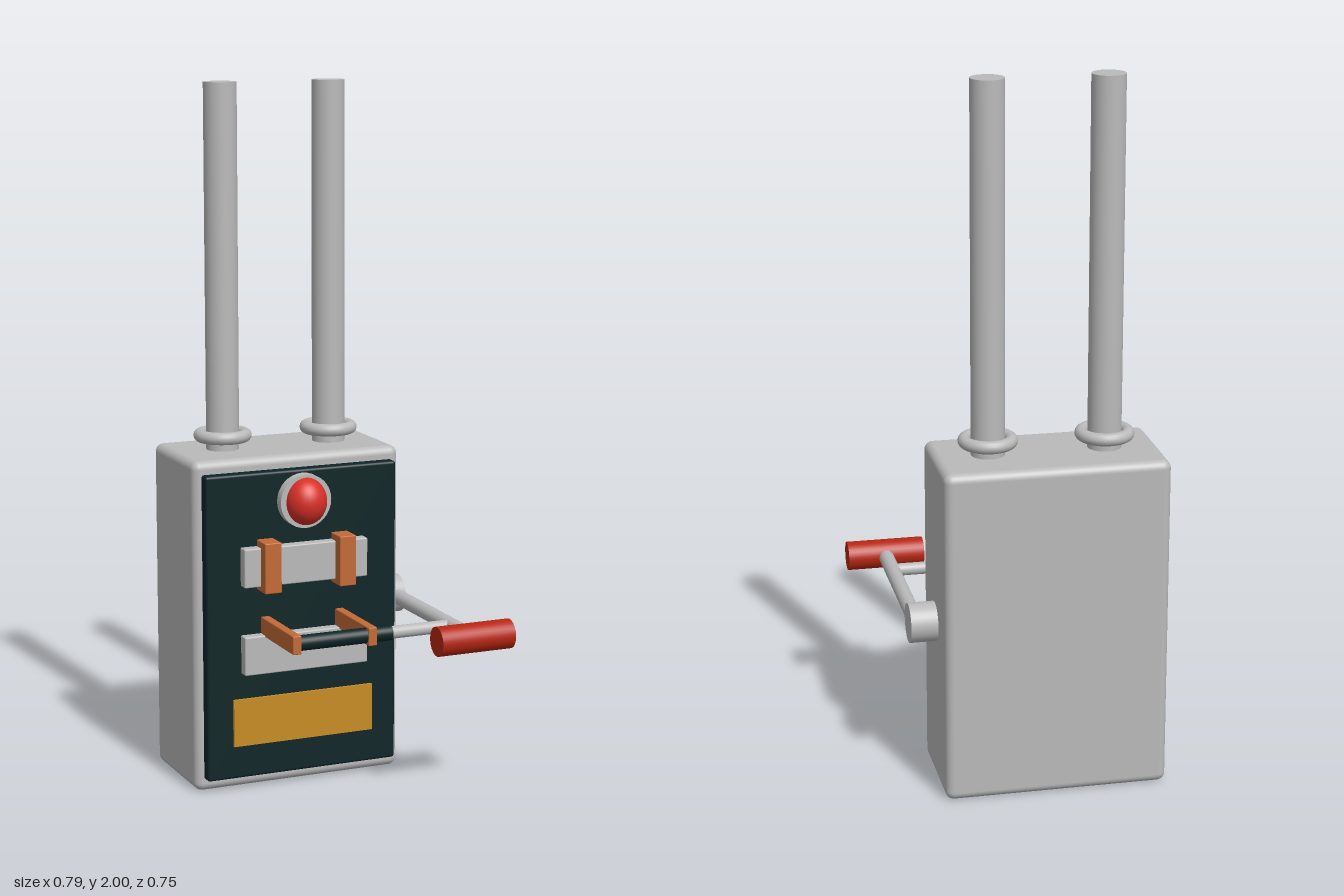
import * as THREE from 'three';
import { RoundedBoxGeometry } from 'three/addons/geometries/RoundedBoxGeometry.js';

const mat = (name, color) => {
  const m = new THREE.MeshStandardMaterial({ color });
  m.name = name;
  return m;
};

export function createModel() {
  const grey = mat('grey metal', 0xbababa);
  const dark = mat('dark green', 0x0c2426);
  const copper = mat('copper', 0xc26a35);
  const lampRed = mat('lamp red', 0xd93027);
  const gripRed = mat('grip red', 0xb62611);
  const yellow = mat('label yellow', 0xc68c22);

  const model = new THREE.Group();
  model.name = 'knifeSwitchBox';

  const add = (name, geometry, material, x, y, z) => {
    const mesh = new THREE.Mesh(geometry, material);
    mesh.name = name;
    mesh.position.set(x, y, z);
    model.add(mesh);
    return mesh;
  };
  // Box given by its limits on each axis, with optional rounded edges
  const box = (name, material, [x0, x1], [y0, y1], [z0, z1], r = 0) => {
    const size = [x1 - x0, y1 - y0, z1 - z0];
    const g = r ? new RoundedBoxGeometry(...size, 4, r) : new THREE.BoxGeometry(...size);
    return add(name, g, material, (x0 + x1) / 2, (y0 + y1) / 2, (z0 + z1) / 2);
  };
  // Cylinder along one axis
  const rod = (name, material, axis, r, length, x, y, z) => {
    const g = new THREE.CylinderGeometry(r, r, length, 32);
    if (axis === 'x') g.rotateZ(-Math.PI / 2);
    if (axis === 'z') g.rotateX(Math.PI / 2);
    return add(name, g, material, x, y, z);
  };

  const midX = -0.083, axleY = 0.483, axleZ = -0.212;

  // Housing and front panel
  box('housing', grey, [-0.398, 0.232], [0.005, 0.962], [-0.376, -0.049], 0.024);
  box('frontPanel', dark, [-0.374, 0.208], [0.042, 0.925], [-0.07, -0.018], 0.008);

  // Conduits with collars
  for (const x of [-0.247, 0.081]) {
    rod('conduit', grey, 'y', 0.047, 1.06, x, 1.47, axleZ);
    const collar = new THREE.TorusGeometry(0.065, 0.018, 16, 48).rotateX(Math.PI / 2);
    add('conduitCollar', collar, grey, x, 1.002, axleZ);
  }

  // Signal lamp
  rod('lampBezel', grey, 'z', 0.077, 0.034, midX, 0.838, -0.007);
  const lamp = add('lamp', new THREE.SphereGeometry(0.06, 32, 24), lampRed, midX, 0.838, 0.008);
  lamp.scale.set(1, 1.13, 1);

  // Insulator plates and label
  box('upperInsulator', grey, [-0.271, 0.106], [0.604, 0.716], [-0.03, 0.013], 0.004);
  box('lowerInsulator', grey, [-0.271, 0.106], [0.35, 0.462], [-0.03, 0.013], 0.004);
  box('label', yellow, [-0.297, 0.131], [0.139, 0.276], [-0.018, -0.009]);

  // Contact clips and knife blades
  for (const x of [-0.197, 0.031]) {
    box('contactClip', copper, [x - 0.025, x + 0.025], [0.59, 0.735], [-0.02, 0.046], 0.003);
    box('knifeBlade', copper, [x - 0.013, x + 0.013], [0.457, 0.51], [-0.02, 0.216], 0.003);
  }

  // Crossbar linking the blades to the lever
  rod('crossbar', dark, 'x', 0.022, 0.28, -0.045, axleY, 0.192);
  rod('crossbarLink', grey, 'x', 0.018, 0.19, 0.185, axleY, 0.192);

  // Lever: pivot, arm and grip
  rod('leverPivot', grey, 'x', 0.056, 0.087, 0.264, axleY, axleZ);
  rod('leverArm', grey, 'z', 0.022, 0.5, 0.284, axleY, 0.06);
  rod('leverGrip', gripRed, 'x', 0.042, 0.225, 0.2835, axleY, 0.332);

  return model;
}
